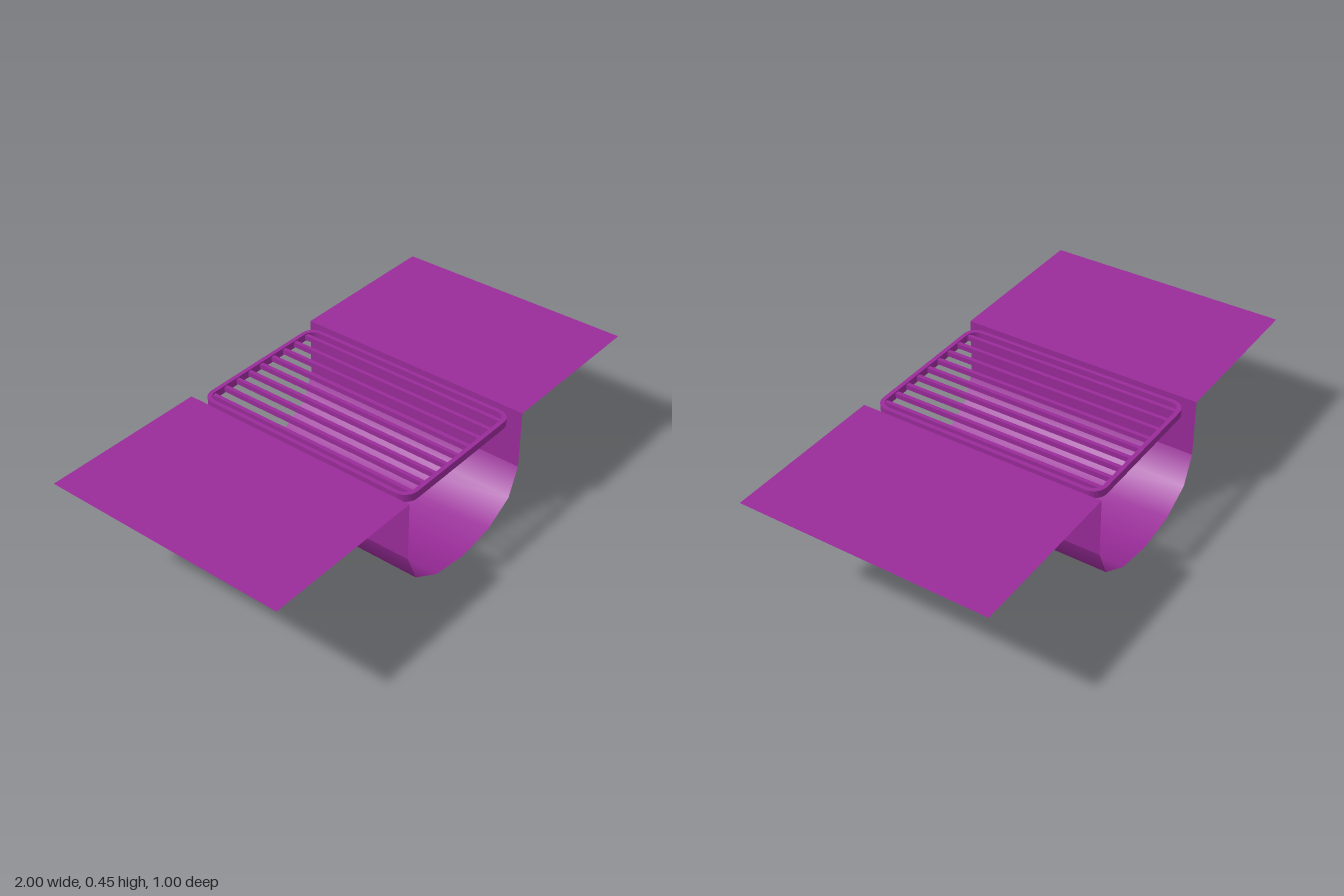
import * as THREE from 'three';
import { toCreasedNormals } from 'three/addons/utils/BufferGeometryUtils.js';

const HALF_Z = 0.5, TOP = 0.45, WALL_X = 0.335, WALL_Y = 0.21;
const material = new THREE.MeshStandardMaterial({ color: 0x992b99, side: THREE.DoubleSide });

function part(name, geometry, parent) {
  const mesh = new THREE.Mesh(geometry, material);
  mesh.name = name;
  parent.add(mesh);
  return mesh;
}

// Thin sheet: an x-y profile (left to right) swept along z, smooth along its length
function sheet(points) {
  const positions = [], index = [];
  points.forEach(([x, y], i) => {
    positions.push(x, y, HALF_Z, x, y, -HALF_Z);
    if (i > 0) {
      const a = 2 * (i - 1);
      index.push(a, a + 2, a + 1, a + 1, a + 2, a + 3);
    }
  });
  const g = new THREE.BufferGeometry();
  g.setAttribute('position', new THREE.Float32BufferAttribute(positions, 3));
  g.setIndex(index);
  g.computeVertexNormals();
  return g;
}

// Rounded rectangle outline
function roundedRect(path, w, d, r) {
  path.moveTo(-w + r, -d);
  path.lineTo(w - r, -d);
  path.absarc(w - r, -d + r, r, -Math.PI / 2, 0);
  path.lineTo(w, d - r);
  path.absarc(w - r, d - r, r, 0, Math.PI / 2);
  path.lineTo(-w + r, d);
  path.absarc(-w + r, d - r, r, Math.PI / 2, Math.PI);
  path.lineTo(-w, -d + r);
  path.absarc(-w + r, -d + r, r, Math.PI, Math.PI * 1.5);
  return path;
}

export function createModel() {
  const model = new THREE.Group();
  model.name = 'drainChannel';

  // Ground flanges and upright channel walls
  part('rightFlange', sheet([[-1, TOP], [-WALL_X, TOP]]), model);
  part('leftFlange', sheet([[WALL_X, TOP], [1, TOP]]), model);
  part('rightWall', sheet([[-WALL_X, TOP], [-WALL_X, WALL_Y]]), model);
  part('leftWall', sheet([[WALL_X, WALL_Y], [WALL_X, TOP]]), model);

  // Rounded channel floor
  const curve = new THREE.CubicBezierCurve(
    new THREE.Vector2(-WALL_X, WALL_Y), new THREE.Vector2(-WALL_X, -0.07),
    new THREE.Vector2(WALL_X, -0.07), new THREE.Vector2(WALL_X, WALL_Y));
  part('channelFloor', sheet(curve.getPoints(6).map((p) => [p.x, p.y])), model);

  // Grate: rounded frame with lengthwise bars
  const grate = new THREE.Group();
  grate.name = 'grate';
  model.add(grate);

  const outline = roundedRect(new THREE.Shape(), 0.31, 0.475, 0.055);
  outline.holes.push(roundedRect(new THREE.Path(), 0.293, 0.458, 0.04));
  const frame = new THREE.ExtrudeGeometry(outline, { depth: 0.03, bevelEnabled: false, curveSegments: 6 });
  frame.rotateX(-Math.PI / 2);
  frame.translate(0, 0.415, 0);
  part('grateFrame', toCreasedNormals(frame, 0.6), grate);

  for (let i = -4; i <= 4; i++) {
    part('grateBar', new THREE.BoxGeometry(0.016, 0.02, 0.92), grate).position.set(i * 0.0655, 0.43, 0);
  }

  return model;
}
